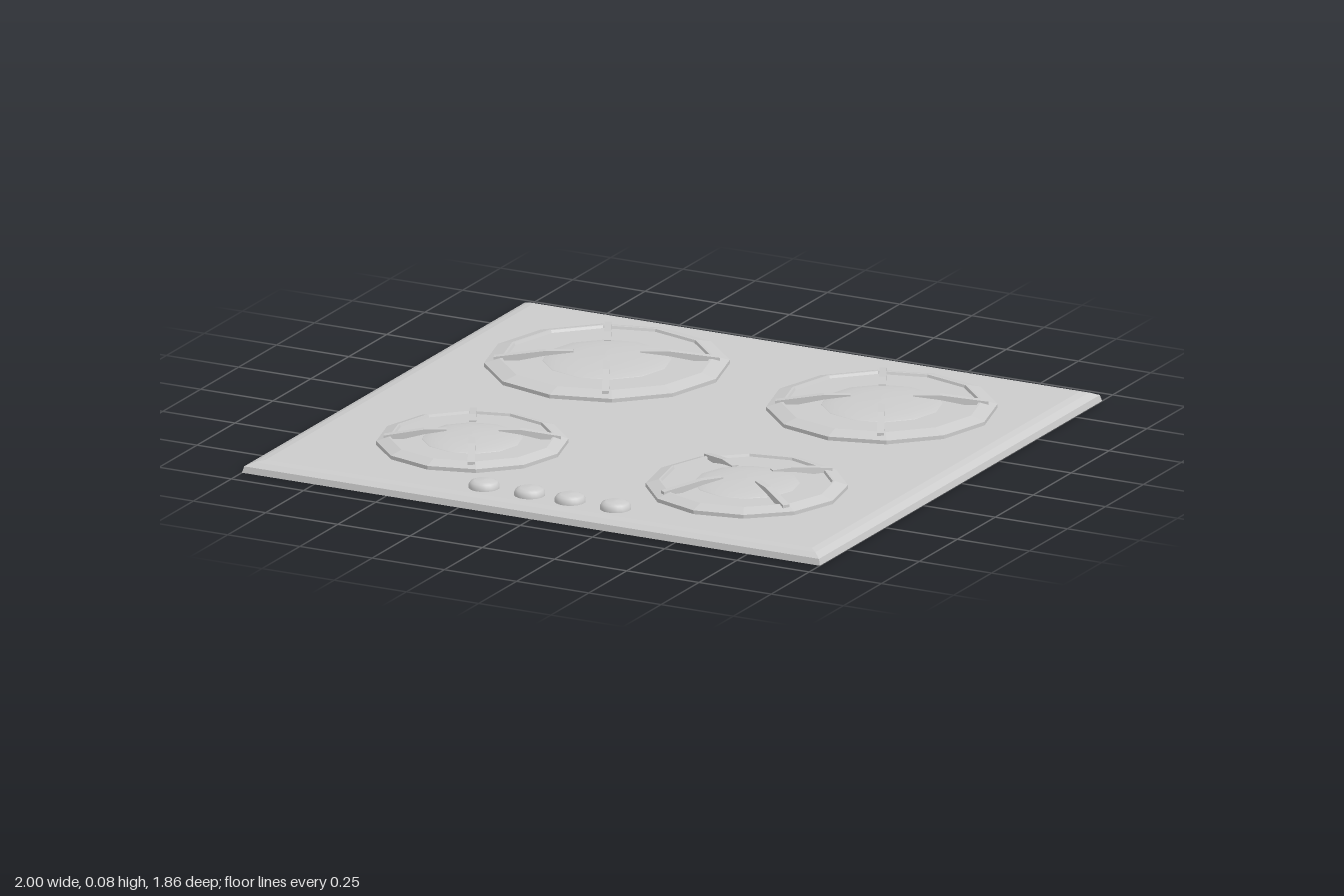
import * as THREE from 'three';

const grey = new THREE.MeshStandardMaterial({ color: 0xcccccc });
const greyFlat = new THREE.MeshStandardMaterial({ color: 0xcccccc, flatShading: true });

const lathe = (pts, sides, start = 0) =>
  new THREE.LatheGeometry(pts.map(([r, y]) => new THREE.Vector2(r, y)), sides, start);

function add(parent, name, geometry, material) {
  const mesh = new THREE.Mesh(geometry, material);
  mesh.name = name;
  parent.add(mesh);
  return mesh;
}

// Rectangular plate with a bevelled rim: a four-sided lathe, squashed in depth
function createPlate(parent) {
  const profile = [[0, 0], [1, 0], [0.995, 0.02], [0.97, 0.031], [0.945, 0.035], [0, 0.035]];
  const geo = lathe(profile.map(([r, y]) => [r * Math.SQRT2, y]), 4, Math.PI / 4);
  geo.scale(1, 1, 0.93);
  add(parent, 'plate', geo, greyFlat);
}

// Burner: twelve-sided raised ring, smooth domed cap and four radial pan supports
function createBurner(R, x, z, turn) {
  const burner = new THREE.Group();
  burner.name = 'burner';
  burner.position.set(x, 0, z);
  burner.rotation.y = turn;

  const ring = [[R, 0.034], [R, 0.047], [0.87 * R, 0.06], [0.85 * R, 0.06], [0.84 * R, 0.052], [0, 0.052]];
  add(burner, 'burnerRing', lathe(ring, 12), greyFlat);

  const cap = [[0.53 * R, 0.051], [0.52 * R, 0.054], [0.42 * R, 0.06], [0.25 * R, 0.065], [0, 0.067]];
  add(burner, 'burnerCap', lathe(cap, 12), grey);

  // Side outline of a support: thick at the ring, pointed towards the centre
  const outline = new THREE.Shape([
    [0.27 * R, 0.083], [0.27 * R, 0.079], [0.5 * R, 0.068], [0.72 * R, 0.052],
    [0.92 * R, 0.052], [0.92 * R, 0.063], [0.5 * R, 0.083],
  ].map(([a, b]) => new THREE.Vector2(a, b)));
  const width = 0.022;
  const barGeo = new THREE.ExtrudeGeometry(outline, { depth: width, bevelEnabled: false });
  barGeo.translate(0, 0, -width / 2);
  for (let i = 0; i < 4; i++) {
    add(burner, 'panSupport', barGeo, greyFlat).rotation.y = THREE.MathUtils.degToRad(27) + i * Math.PI / 2;
  }
  return burner;
}

export function createModel() {
  const hob = new THREE.Group();
  hob.name = 'hob';
  createPlate(hob);

  for (const [R, x, z, turn] of [
    [0.377, -0.46, -0.447, 0], [0.355, 0.49, -0.45, 0],
    [0.295, -0.46, 0.44, 0], [0.31, 0.49, 0.44, 0.45],
  ]) hob.add(createBurner(R, x, z, turn));

  // Low domed control knobs along the front
  const knobGeo = lathe([[0.048, 0.034], [0.048, 0.044], [0.042, 0.054], [0.03, 0.059], [0, 0.061]], 20);
  for (const x of [-0.225, -0.067, 0.073, 0.23]) {
    add(hob, 'knob', knobGeo, grey).position.set(x, 0, 0.81);
  }
  return hob;
}
